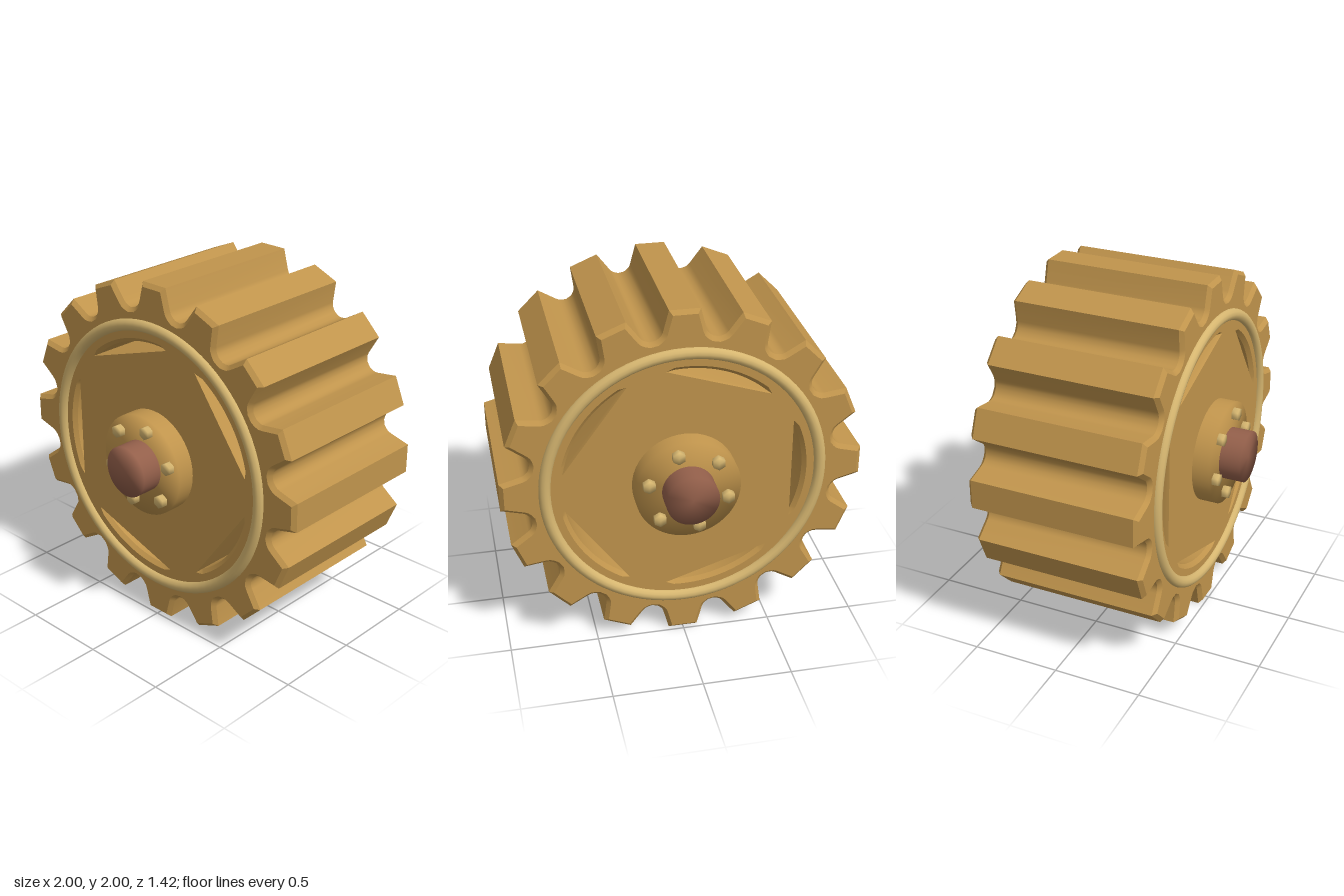
import * as THREE from 'three';
import { mergeVertices, toCreasedNormals } from 'three/addons/utils/BufferGeometryUtils.js';

const TEETH = 16, HOLES = 5, BOLTS = 6;
const BEVEL = 0.022, HALF = 0.49;

const paint = (color) => new THREE.MeshStandardMaterial({ color });

// Cylinder along z with normals blended over its rim
function softCylinder(radius, z0, z1, sides) {
  let g = new THREE.CylinderGeometry(radius, radius, z1 - z0, sides);
  g.rotateX(Math.PI / 2).translate(0, 0, (z0 + z1) / 2);
  g.deleteAttribute('normal');
  g.deleteAttribute('uv');
  g = mergeVertices(g);
  g.computeVertexNormals();
  return g;
}

// Toothed outline with five wedge-shaped windows
function gearShape() {
  // Half a tooth, from tip corner to valley: [radial, sideways]
  const half = [[1, 0.083], [0.882, 0.114], [0.865, 0.121], [0.852, 0.133], [0.839, 0.15]];
  const tooth = [...half.map(([r, s]) => [r, -s]).reverse(), ...half];
  const points = [];
  for (let i = 0; i < TEETH; i++) {
    const a = (i / TEETH) * Math.PI * 2, c = Math.cos(a), s = Math.sin(a);
    for (const [r, t] of tooth) points.push(new THREE.Vector2(r * c - t * s, r * s + t * c));
  }
  const shape = new THREE.Shape(points);

  const spread = 0.42;
  for (let i = 0; i < HOLES; i++) {
    const a = Math.PI + (i / HOLES) * Math.PI * 2;
    const hole = new THREE.Path();
    hole.moveTo(0.355 * Math.cos(a), 0.355 * Math.sin(a));
    hole.absarc(0, 0, 0.665, a - spread, a + spread, false);
    hole.closePath();
    shape.holes.push(hole);
  }
  return shape;
}

export function createModel() {
  const model = new THREE.Group();
  const wheel = new THREE.Group();
  wheel.name = 'gearWheel';
  wheel.position.y = 1;
  model.add(wheel);

  const brass = paint(0xc0944c), lightBrass = paint(0xd6b670), copper = paint(0x935f4a);
  const add = (name, geometry, material, parent = wheel) => {
    const mesh = new THREE.Mesh(geometry, material);
    mesh.name = name;
    parent.add(mesh);
    return mesh;
  };

  // Toothed body with bevelled edges
  const body = new THREE.ExtrudeGeometry(gearShape(), {
    depth: 2 * (HALF - BEVEL), curveSegments: 20,
    bevelEnabled: true, bevelThickness: BEVEL, bevelSize: BEVEL, bevelOffset: -BEVEL, bevelSegments: 1,
  });
  body.translate(0, 0, -(HALF - BEVEL));
  add('toothedBody', toCreasedNormals(body, 0.7), brass);

  // Hub and axle run right through
  add('hub', softCylinder(0.29, -0.59, 0.59, 48), brass);
  add('axle', softCylinder(0.145, -0.71, 0.71, 40), copper);

  // Raised ring and bolts on both faces
  for (const side of [1, -1]) {
    const face = new THREE.Group();
    face.name = side > 0 ? 'frontTrim' : 'backTrim';
    wheel.add(face);

    add('ring', new THREE.TorusGeometry(0.762, 0.034, 12, 80), lightBrass, face).position.z = side * 0.485;

    for (let i = 0; i < BOLTS; i++) {
      const a = Math.PI / 12 + (i / BOLTS) * Math.PI * 2;
      const bolt = add('bolt', softCylinder(0.037, -0.03, 0.03, 6), lightBrass, face);
      bolt.position.set(0.225 * Math.cos(a), 0.225 * Math.sin(a), side * 0.595);
    }
  }
  return model;
}
